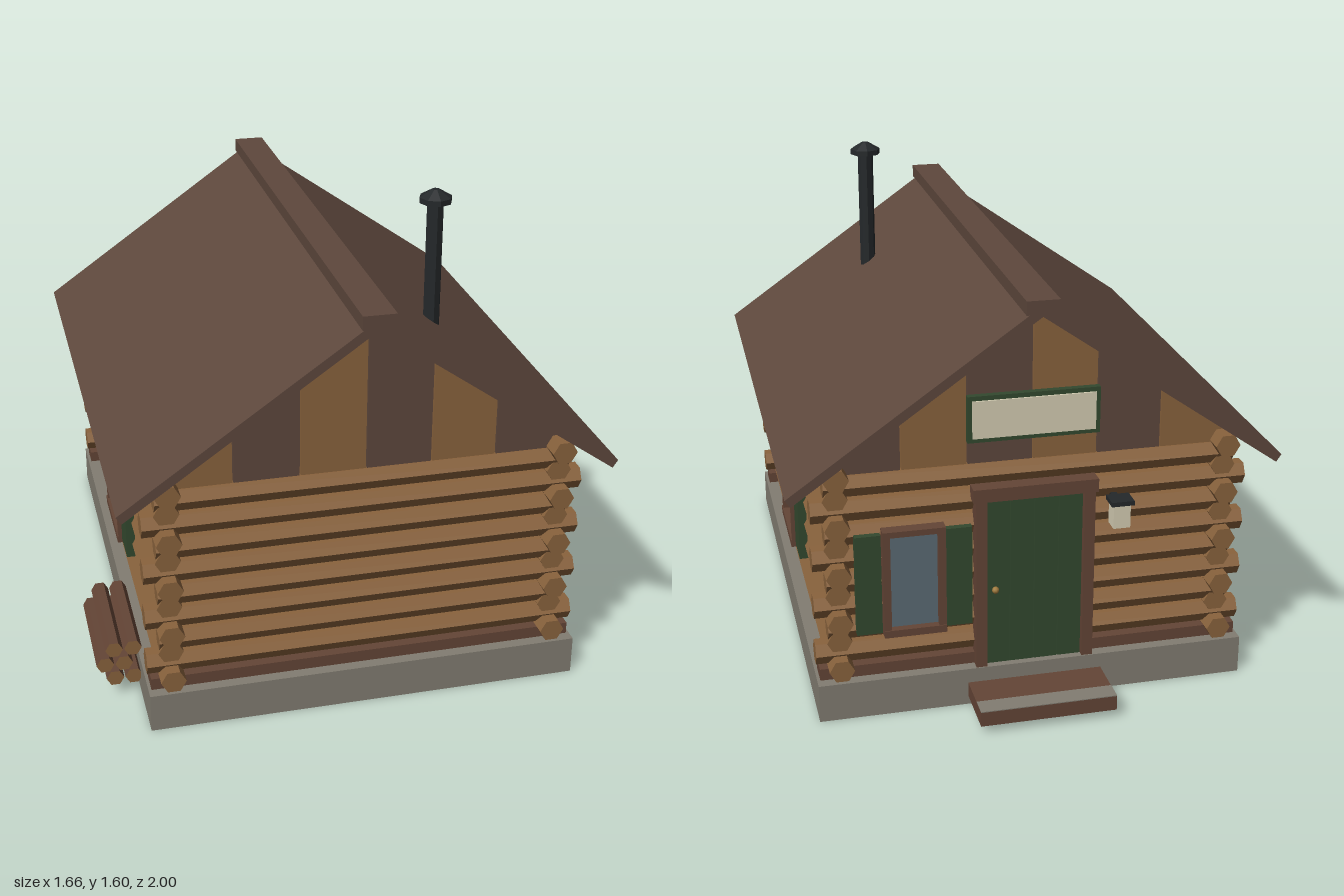
import * as THREE from 'three';

const CX = 0.025, CZ = 0.07; // centre of the cabin
const HX = 0.637, HZ = 0.803; // wall centre lines
const R = 0.041, STEP = 0.083; // log radius and course height

const mat = (name, color) => {
  const m = new THREE.MeshStandardMaterial({ color });
  m.name = name;
  return m;
};

export function createModel() {
  const model = new THREE.Group();
  model.name = 'logCabin';
  const M = {
    log: mat('logWood', 0x8a633d),
    trim: mat('trimBrown', 0x644536),
    roof: mat('roofBrown', 0x5e483d),
    stone: mat('stoneGrey', 0x827d72),
    green: mat('paintedGreen', 0x33492f),
    glass: mat('windowGlass', 0x5b6b74),
    metal: mat('darkMetal', 0x24282a),
    cream: mat('cream', 0xd6cfb4),
    brass: mat('brass', 0xa07a3c),
  };

  const add = (name, geo, material, parent = model) => {
    const mesh = new THREE.Mesh(geo, material);
    mesh.name = name;
    parent.add(mesh);
    return mesh;
  };
  const group = (name) => {
    const g = new THREE.Group();
    g.name = name;
    model.add(g);
    return g;
  };
  // box given by its limits on each axis
  const box = (name, x0, x1, y0, y1, z0, z1, material, parent) => {
    const mesh = add(name, new THREE.BoxGeometry(x1 - x0, y1 - y0, z1 - z0), material, parent);
    mesh.position.set((x0 + x1) / 2, (y0 + y1) / 2, (z0 + z1) / 2);
    return mesh;
  };
  const faceted = (geo) => {
    const g = geo.toNonIndexed();
    g.computeVertexNormals();
    g.clearGroups();
    return g;
  };
  // six-sided log lying along x or z with flat top and bottom
  const logGeo = (length, axis, r = R, open = false) => {
    const g = new THREE.CylinderGeometry(r, r, length, 6, 1, open);
    if (axis === 'x') g.rotateZ(Math.PI / 2);
    else g.rotateY(Math.PI / 6).rotateX(Math.PI / 2);
    return faceted(g);
  };

  // foundation and sills
  box('foundation', CX - 0.715, CX + 0.715, 0, 0.13, CZ - 0.88, CZ + 0.88, M.stone);
  for (const s of [-1, 1]) {
    const z = CZ + s * HZ;
    box('sill', CX - 0.705, CX + 0.705, 0.13, 0.17, z - 0.04, z + 0.04, M.trim);
  }

  // log walls, with every second course jutting out at the corners
  const walls = group('logWalls');
  for (let i = 0; i < 9; i++) {
    const out = i % 2 === 0 ? 0.077 : 0.035;
    for (const s of [-1, 1]) {
      add('sideLog', logGeo(2 * (HZ + out), 'z'), M.log, walls)
        .position.set(CX + s * HX, 0.174 + i * STEP, CZ);
      if (i < 8) {
        add('endLog', logGeo(2 * (HX + out + 0.001), 'x'), M.log, walls)
          .position.set(CX, 0.2155 + i * STEP, CZ + s * HZ);
      }
    }
  }

  // gable planks in alternating colours
  const slope = 0.7, apex = 1.332, plankW = 0.212;
  const gables = group('gables');
  for (const s of [-1, 1]) {
    for (let i = 0; i < 6; i++) {
      const a = (i - 3) * plankW + 0.002, b = (i - 2) * plankW - 0.002;
      const shape = new THREE.Shape([
        new THREE.Vector2(a, 0.83), new THREE.Vector2(b, 0.83),
        new THREE.Vector2(b, apex - Math.abs(b) * slope),
        new THREE.Vector2(a, apex - Math.abs(a) * slope),
      ]);
      add('gablePlank', new THREE.ExtrudeGeometry(shape, { depth: 0.03, bevelEnabled: false }),
        i % 2 ? M.roof : M.log, gables).position.set(CX, 0, CZ + s * HZ - 0.015);
    }
  }

  // roof slabs and ridge cap
  for (const s of [-1, 1]) {
    const shape = new THREE.Shape([
      new THREE.Vector2(0, 1.375), new THREE.Vector2(s * 0.8, 0.815),
      new THREE.Vector2(s * 0.783, 0.79), new THREE.Vector2(0, 1.339),
    ]);
    add('roofSlab', new THREE.ExtrudeGeometry(shape, { depth: 1.85, bevelEnabled: false }), M.roof)
      .position.set(CX, 0, -0.86);
  }
  box('ridgeCap', CX - 0.053, CX + 0.053, 1.348, 1.393, -0.866, 1.0, M.roof);

  // stove pipe with rain cap
  const pipe = group('stovePipe');
  pipe.position.set(0.343, 0, 0.517);
  add('pipe', faceted(new THREE.CylinderGeometry(0.028, 0.028, 0.48, 8)), M.metal, pipe).position.y = 1.33;
  add('capRim', faceted(new THREE.CylinderGeometry(0.054, 0.054, 0.018, 8)), M.metal, pipe).position.y = 1.566;
  add('capTop', faceted(new THREE.CylinderGeometry(0.012, 0.054, 0.025, 8)), M.metal, pipe).position.y = 1.5875;

  // window facing local +z, with the wall face at z = 0
  const addWindow = (name, glassW, shutterW, x, z, turn) => {
    const g = group(name);
    const h = glassW / 2, f = h + 0.024;
    box('glass', -h, h, 0.3, 0.63, 0, 0.009, M.glass, g);
    for (const s of [-1, 1]) {
      const post = box('framePost', -0.012, 0.012, 0.28, 0.645, -0.01, 0.032, M.trim, g);
      post.position.x = s * (h + 0.012);
      const shutter = box('shutter', -shutterW / 2, shutterW / 2, 0.29, 0.635, -0.01, 0.02, M.green, g);
      shutter.position.x = s * (f + 0.004 + shutterW / 2);
    }
    box('frameTop', -f, f, 0.628, 0.648, -0.01, 0.033, M.trim, g);
    box('frameSill', -f, f, 0.277, 0.302, -0.01, 0.035, M.trim, g);
    g.position.set(x, 0, z);
    g.rotation.y = turn;
  };
  const wallX = HX + R, backZ = CZ - HZ - R;
  addWindow('leftWindow', 0.26, 0.123, CX + wallX, CZ, Math.PI / 2);
  addWindow('rightWindow', 0.26, 0.123, CX - wallX, CZ, -Math.PI / 2);
  addWindow('backWindow', 0.155, 0.083, 0.42, backZ, Math.PI);

  // plank door with frame and knob
  const door = group('door');
  for (let i = 0; i < 4; i++) {
    const x = CX - 0.16 + i * 0.08;
    box('doorPlank', x + 0.001, x + 0.079, 0.13, 0.72, backZ - 0.012, backZ + 0.02, M.green, door);
  }
  for (const s of [-1, 1]) {
    const post = box('doorPost', -0.018, 0.018, 0.13, 0.725, backZ - 0.032, backZ + 0.02, M.trim, door);
    post.position.x = CX + s * 0.178;
  }
  box('lintel', CX - 0.205, CX + 0.205, 0.72, 0.765, backZ - 0.035, backZ + 0.02, M.trim, door);
  add('knob', new THREE.SphereGeometry(0.012, 8, 6), M.brass, door).position.set(CX + 0.13, 0.4, backZ - 0.02);

  // blank sign board on the back gable
  const signZ = CZ - HZ - 0.015;
  box('signFrame', CX - 0.215, CX + 0.215, 0.91, 1.065, signZ - 0.022, signZ, M.green);
  box('signPanel', CX - 0.2, CX + 0.2, 0.925, 1.05, signZ - 0.028, signZ - 0.02, M.cream);

  // wall lamp beside the door
  const lamp = group('wallLamp');
  box('lampBody', -0.271, -0.215, 0.61, 0.692, -0.862, -0.807, M.cream, lamp);
  box('lampCap', -0.281, -0.206, 0.69, 0.705, -0.87, -0.803, M.metal, lamp);
  box('lampArm', -0.254, -0.232, 0.665, 0.692, -0.81, -0.74, M.metal, lamp);

  // door step with a stone tread
  box('doorStep', -0.2, 0.25, 0.03, 0.08, -1.0, -0.81, M.trim);
  box('stepTread', -0.2, 0.25, 0.08, 0.083, -1.0, -0.935, M.stone);

  // stacked firewood with pale cut ends
  const pile = group('firewood');
  const stack = [[-0.774, 0.176], [-0.712, 0.176], [-0.805, 0.121], [-0.743, 0.121], [-0.774, 0.067], [-0.712, 0.067]];
  for (const [x, y] of stack) {
    add('firewoodLog', logGeo(0.38, 'z', 0.029, true), M.trim, pile).position.set(x, y, 0.543);
    for (const s of [-1, 1]) {
      const end = add('cutEnd', new THREE.CircleGeometry(0.029, 6), M.log, pile);
      end.position.set(x, y, 0.543 + s * 0.19);
      end.rotation.y = s > 0 ? 0 : Math.PI;
    }
  }

  return model;
}
